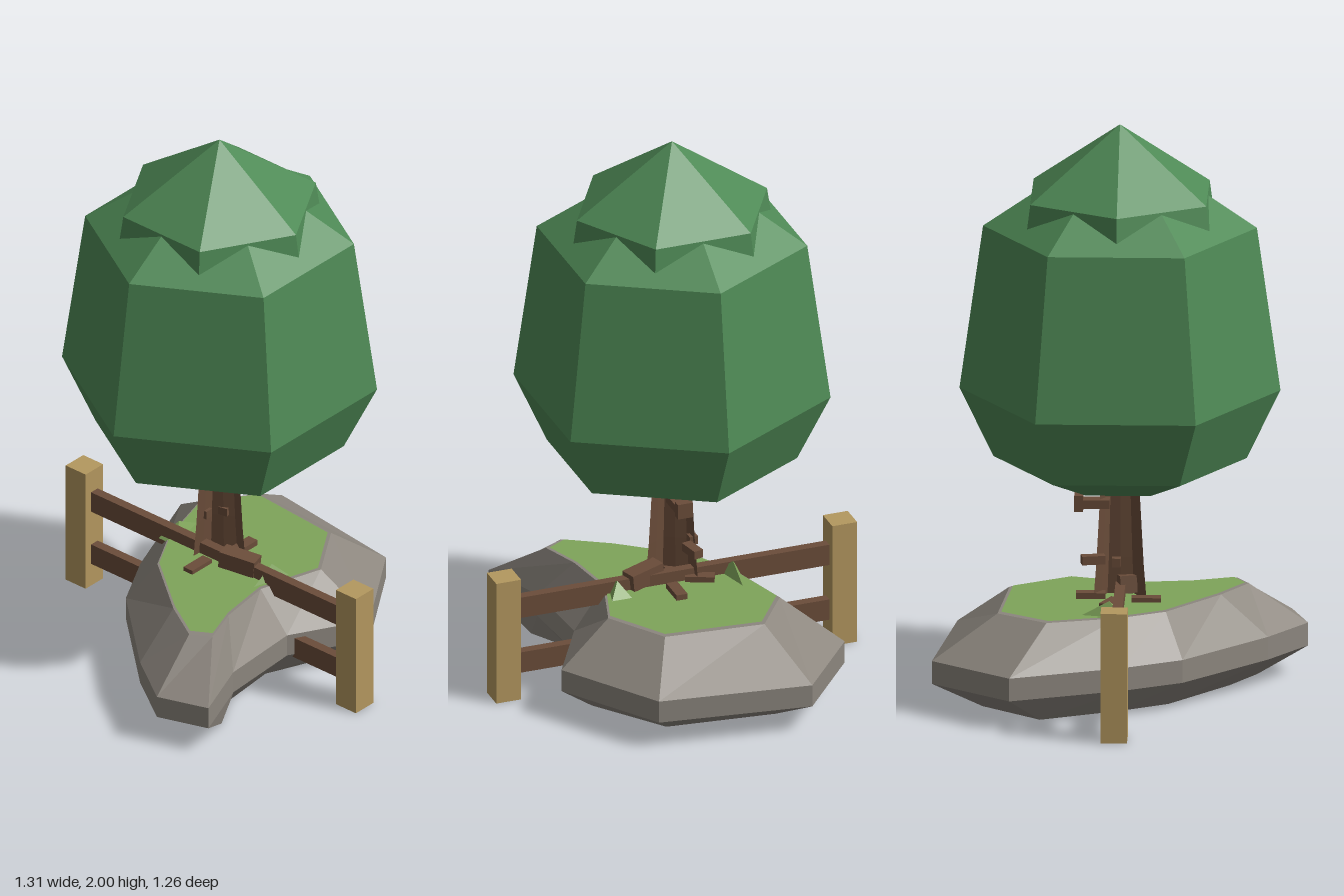
import * as THREE from 'three';

const mat = (name, color, side = THREE.FrontSide) =>
  Object.assign(new THREE.MeshStandardMaterial({ color, side }), { name });

// Gives every face its own flat normal
function facet(geo) {
  const g = geo.index ? geo.toNonIndexed() : geo;
  g.computeVertexNormals();
  return g;
}

// Horizontal plate from [x, z] corners, facing up or down
function plate(points, y, up = true) {
  const s = up ? -1 : 1;
  const shape = new THREE.Shape(points.map(([x, z]) => new THREE.Vector2(x, s * z)));
  return new THREE.ShapeGeometry(shape).rotateX(s * Math.PI / 2).translate(0, y, 0);
}

// Side wall through a stack of outlines, each { y, pts }
function wall(rings) {
  const pos = [];
  for (let r = 0; r < rings.length - 1; r++) {
    const lo = rings[r], hi = rings[r + 1], n = lo.pts.length;
    for (let i = 0; i < n; i++) {
      const j = (i + 1) % n;
      const at = (ring, k) => [ring.pts[k][0], ring.y, ring.pts[k][1]];
      pos.push(...at(lo, i), ...at(hi, i), ...at(lo, j));
      pos.push(...at(lo, j), ...at(hi, i), ...at(hi, j));
    }
  }
  const g = new THREE.BufferGeometry();
  g.setAttribute('position', new THREE.Float32BufferAttribute(pos, 3));
  return g;
}

export function createModel() {
  const leaf = mat('leafGreen', 0x4f8a56);
  const bark = mat('barkBrown', 0x6b4d3a);
  const root = mat('rootBrown', 0x4a3526);
  const stone = mat('stoneGrey', 0x8c867e);
  const grass = mat('grassGreen', 0x7fa45a, THREE.DoubleSide);
  const timber = mat('timberTan', 0xb4985f);

  const model = new THREE.Group();
  model.name = 'treeOnRock';
  const add = (name, geo, material, parent = model) => {
    const m = new THREE.Mesh(facet(geo), material);
    m.name = name;
    parent.add(m);
    return m;
  };
  const lathe = (pts, sides, start = 0) => new THREE.LatheGeometry(
    pts.map(([r, y]) => new THREE.Vector2(r, y)), sides, start);

  // Crown: hexagonal body and a pointed cap turned by half a side
  add('crown', lathe([[0, 0.745], [0.22, 0.745], [0.43, 0.83], [0.545, 1.07],
    [0.465, 1.64], [0.245, 1.79], [0, 1.8]], 6), leaf);
  add('crownCap', lathe([[0, 1.66], [0.36, 1.66], [0.345, 1.76], [0, 2]], 6, Math.PI / 6), leaf);

  // Trunk with a ridged outline, narrowing upwards
  const trunkRing = (y, r) => ({
    y,
    pts: Array.from({ length: 12 }, (_, i) => {
      const a = -i * Math.PI / 6, k = r * (i % 2 ? 0.84 : 1);
      return [Math.cos(a) * k, Math.sin(a) * k].reverse();
    }),
  });
  add('trunk', wall([trunkRing(0.3, 0.092), trunkRing(0.46, 0.08), trunkRing(0.8, 0.062)].map(
    ({ y, pts }) => ({ y, pts: pts.reverse() }))), bark);

  // Branch stubs and roots
  const block = (name, size, [x, y, z], ry = 0, rz = 0) => {
    const m = add(name, new THREE.BoxGeometry(...size), bark);
    m.position.set(x, y, z);
    m.rotation.set(0, ry, rz);
  };
  block('upperStub', [0.05, 0.03, 0.11], [0.01, 0.665, -0.09]);
  block('upperStubEnd', [0.055, 0.055, 0.03], [0.01, 0.668, -0.14]);
  block('lowerStub', [0.035, 0.03, 0.08], [-0.04, 0.48, -0.09], 0.2);
  block('sideStub', [0.03, 0.03, 0.03], [-0.07, 0.48, -0.01]);
  block('leftRoot', [0.13, 0.06, 0.06], [0.1, 0.365, 0.01], 0.3, -0.1);
  block('backRoot', [0.04, 0.03, 0.1], [0.02, 0.335, -0.1]);
  block('frontRoot', [0.04, 0.03, 0.1], [-0.02, 0.33, 0.09]);
  block('rightRoot', [0.1, 0.03, 0.04], [-0.09, 0.335, -0.03], -0.4);

  // Rock: bean-shaped outline with a tail towards the front left
  const wide = [[-0.27, -0.63], [0.26, -0.56], [0.485, -0.22], [0.34, 0.04], [0.36, 0.34],
    [0.45, 0.57], [0.27, 0.63], [0.08, 0.5], [-0.23, 0.22], [-0.34, 0.02], [-0.49, -0.36]];
  const top = [[-0.18, -0.41], [0.17, -0.38], [0.3, -0.18], [0.23, 0.05], [0.26, 0.25],
    [0.31, 0.39], [0.24, 0.43], [0.09, 0.34], [-0.14, 0.16], [-0.23, 0], [-0.3, -0.24]];
  const base = [[-0.2, -0.46], [0.18, -0.42], [0.36, -0.18], [0.26, 0.06], [0.28, 0.26],
    [0.36, 0.4], [0.25, 0.46], [0.1, 0.37], [-0.15, 0.17], [-0.25, 0], [-0.37, -0.26]];
  const floor = 0.004, crest = 0.325;
  add('rockSide', wall([{ y: floor, pts: base }, { y: 0.1, pts: wide },
    { y: 0.18, pts: wide }, { y: crest, pts: top }]), stone);
  add('rockTop', plate(top, crest), stone);
  add('rockUnderside', plate(base, floor, false), stone);

  // Grass on the flat top, with low tufts beside the trunk
  add('grass', plate(top.map(([x, z]) => [x * 0.97, z * 0.97]), crest + 0.005), grass);
  for (const s of [-1, 1]) {
    const tuft = new THREE.ConeGeometry(0.1, 0.06, 3, 1).scale(0.5, 1, 1.1);
    const m = add('grassTuft', tuft, grass);
    m.position.set(s * 0.21, 0.35, -0.03);
    m.rotation.y = s > 0 ? 0 : Math.PI;
  }

  // Roots showing underneath as a ragged star
  const star = Array.from({ length: 14 }, (_, i) => {
    const a = i * Math.PI / 7, r = i % 2 ? 0.08 : 0.14 + 0.05 * Math.sin(i * 2.3);
    return [-0.02 + Math.cos(a) * r, -0.04 + Math.sin(a) * r];
  });
  add('rootPatch', plate(star, 0, false), root);

  // Fence: two posts and two rails running through the rock
  const fence = new THREE.Group();
  fence.name = 'fence';
  model.add(fence);
  for (const s of [-1, 1])
    add('fencePost', new THREE.BoxGeometry(0.09, 0.455, 0.09), timber, fence).position.set(s * 0.61, 0.2275, 0);
  for (const y of [0.125, 0.333])
    add('fenceRail', new THREE.BoxGeometry(1.16, 0.077, 0.034), bark, fence).position.set(0, y, 0);

  return model;
}
